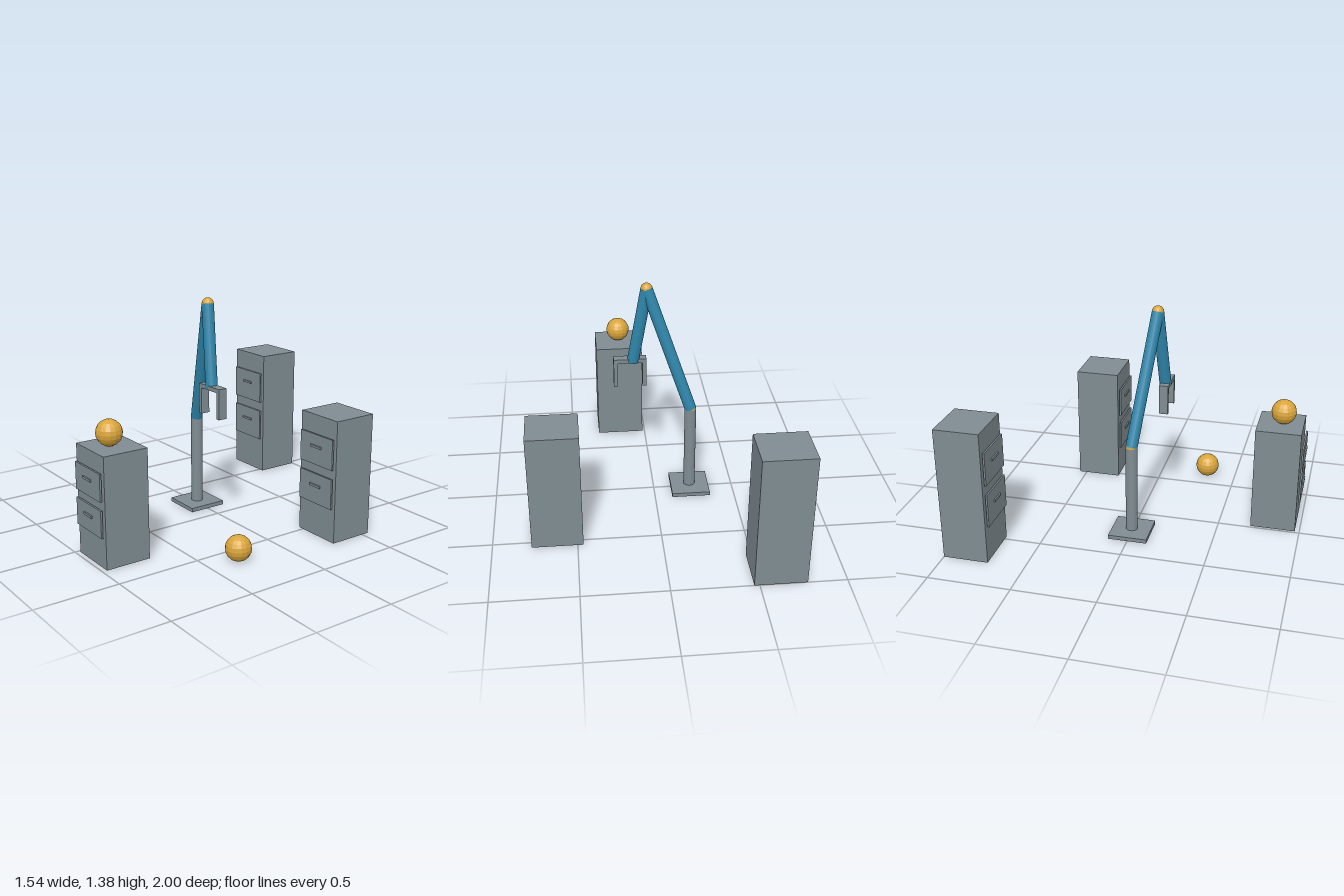
import * as THREE from 'three';

const flat = (name, color) => {
  const m = new THREE.MeshStandardMaterial({ color, flatShading: true });
  m.name = name;
  return m;
};

export function createModel() {
  const grey = flat('grey metal', 0x7f8c92);
  const blue = flat('blue arm paint', 0x2e86ab);
  const amber = flat('amber', 0xd9a53a);

  const model = new THREE.Group();
  model.name = 'robotArmAndCabinets';

  const add = (parent, name, geometry, material, x = 0, y = 0, z = 0) => {
    const mesh = new THREE.Mesh(geometry, material);
    mesh.name = name;
    mesh.position.set(x, y, z);
    parent.add(mesh);
    return mesh;
  };
  const box = (parent, name, w, h, d, x, y, z) =>
    add(parent, name, new THREE.BoxGeometry(w, h, d), grey, x, y, z);
  const ball = (parent, name, r, p) =>
    add(parent, name, new THREE.SphereGeometry(r, 16, 10), amber, ...p);

  // Cylinder between two points
  const rod = (parent, name, a, b, r, material) => {
    const from = new THREE.Vector3(...a);
    const dir = new THREE.Vector3(...b).sub(from);
    const mesh = add(parent, name, new THREE.CylinderGeometry(r, r, dir.length(), 20), material);
    mesh.position.copy(from).addScaledVector(dir, 0.5);
    mesh.quaternion.setFromUnitVectors(new THREE.Vector3(0, 1, 0), dir.normalize());
  };

  // Filing cabinets: two drawer fronts with handles, proportional to height
  const W = 0.304, D = 0.274;
  const cabinet = (name, x, front, h) => {
    const g = new THREE.Group();
    g.name = name;
    g.position.set(x, 0, front);
    box(g, 'cabinetBody', W, h, D, 0, h / 2, -D / 2);
    for (const k of [0.405, 0.727]) {
      box(g, 'drawerFront', 0.273, h * 0.247, 0.011, 0, h * k, 0.0135);
      box(g, 'drawerHandle', 0.088, 0.014, 0.012, 0, h * (k + 0.026), 0.022);
    }
    model.add(g);
  };
  cabinet('tallCabinet', -0.621, -0.726, 0.823);
  cabinet('middleCabinet', 0.618, -0.273, 0.737);
  cabinet('shortCabinet', 0.167, 0.972, 0.651);

  // Loose balls
  ball(model, 'cabinetBall', 0.076, [0.167, 0.727, 0.848]);
  ball(model, 'floorBall', 0.076, [0.632, 0.076, 0.313]);

  // Robot arm
  const arm = new THREE.Group();
  arm.name = 'robotArm';
  model.add(arm);
  const shoulder = [-0.227, 0.575, 0];
  const elbow = [0.033, 1.34, 0.095];
  const wrist = [0.116, 0.853, 0.127];
  box(arm, 'basePlate', 0.238, 0.025, 0.238, -0.227, 0.0125, 0);
  rod(arm, 'column', [-0.227, 0.02, 0], shoulder, 0.036, grey);
  rod(arm, 'upperArm', shoulder, elbow, 0.036, blue);
  rod(arm, 'forearm', elbow, wrist, 0.036, blue);
  ball(arm, 'shoulderJoint', 0.036, shoulder);
  ball(arm, 'elbowJoint', 0.036, elbow);

  // Gripper with two fingers
  const gripper = new THREE.Group();
  gripper.name = 'gripper';
  gripper.position.set(0.134, 0, 0.132);
  arm.add(gripper);
  box(gripper, 'palm', 0.2, 0.025, 0.055, 0, 0.862, 0);
  for (const s of [-1, 1]) box(gripper, 'finger', 0.025, 0.158, 0.055, s * 0.0875, 0.771, 0);

  return model;
}
